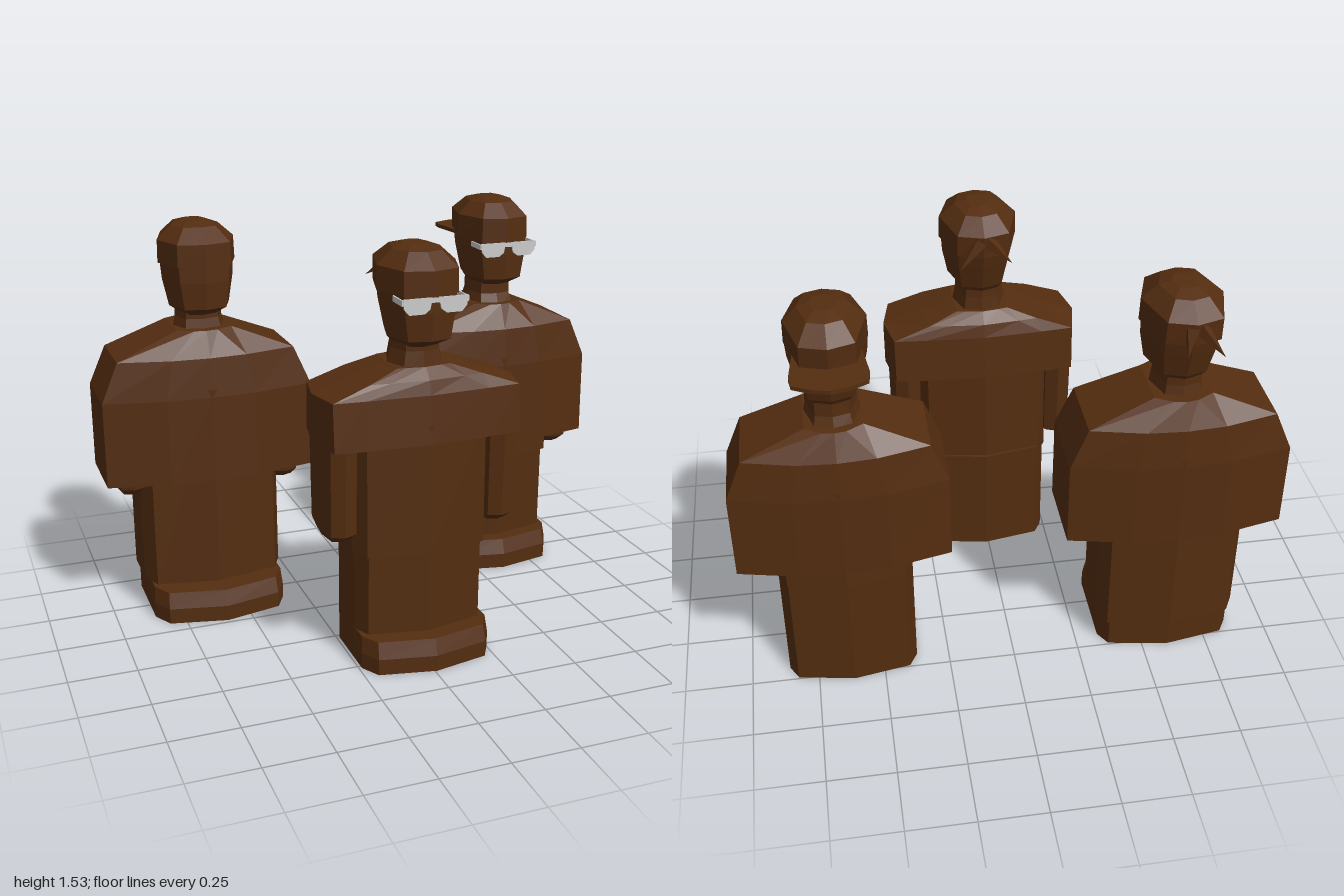
import * as THREE from 'three';

const brown = new THREE.MeshStandardMaterial({ color: 0x542d10, flatShading: true });
const grey = new THREE.MeshStandardMaterial({ color: 0xcccccc, flatShading: true });

// Half outlines seen from above, front centre to back centre: [x, z] in -1..1
const OUTLINE = {
  chestWide: [[0, 1], [0.42, 0.95], [1, 0.71], [1, -0.71], [0.42, -0.95], [0, -1]],
  chestRound: [[0, 1], [0.6, 0.92], [0.92, 0.86], [1, 0], [0.92, -0.86], [0.6, -0.92], [0, -1]],
  body: [[0, 1], [0.87, 0.77], [1, 0.4], [1, -0.5], [0.87, -0.8], [0, -1]],
  shoe: [[0, 1], [0.84, 0.81], [1, 0.5], [1, -0.55], [0.87, -0.8], [0, -1]],
  head: [[0, 1], [0.68, 0.84], [1, 0.1], [0.66, -0.84], [0, -1]],
  arm: [[0, 1], [0.75, 0.85], [1, 0], [0.75, -0.85], [0, -1]],
  visor: [[0, 1], [0.85, 1], [1, -0.3], [0.95, -0.65], [0.5, -0.88], [0, -1]],
};

// Closed loft through rings [y, half width, front z, back z], bottom to top
function loft(name, outline, rings, material = brown) {
  const half = OUTLINE[outline];
  const loop = [...half, ...half.slice(1, -1).reverse().map(([x, z]) => [-x, z])];
  const n = loop.length, pos = [], idx = [];
  for (const [y, w, zf, zb] of rings)
    for (const [x, z] of loop) pos.push(x * w, y, (zf + zb) / 2 + z * (zf - zb) / 2);
  for (let r = 0; r < rings.length - 1; r++)
    for (let i = 0; i < n; i++) {
      const a = r * n + i, b = r * n + (i + 1) % n;
      idx.push(a, b, b + n, a, b + n, a + n);
    }
  const top = (rings.length - 1) * n;
  for (let i = 1; i < n - 1; i++) idx.push(0, i + 1, i, top, top + i, top + i + 1);
  const g = new THREE.BufferGeometry();
  g.setAttribute('position', new THREE.Float32BufferAttribute(pos, 3));
  g.setIndex(idx);
  const flat = g.toNonIndexed();
  flat.computeVertexNormals();
  const mesh = new THREE.Mesh(flat, material);
  mesh.name = name;
  return mesh;
}

// Flat pointed cloth end running from base to tip
function clothTail(base, tip) {
  const a = new THREE.Vector3(...base), b = new THREE.Vector3(...tip);
  const dir = b.clone().sub(a);
  const mesh = new THREE.Mesh(new THREE.ConeGeometry(0.03, dir.length(), 4), brown);
  mesh.position.copy(a).add(b).multiplyScalar(0.5);
  mesh.quaternion.setFromUnitVectors(new THREE.Vector3(0, 1, 0), dir.normalize());
  mesh.name = 'bandanaTail';
  return mesh;
}

function box(name, w, h, d, x, y, z) {
  const mesh = new THREE.Mesh(new THREE.BoxGeometry(w, h, d), grey);
  mesh.position.set(x, y, z);
  mesh.name = name;
  return mesh;
}

// Sunglasses: two lenses, a bridge and two temples
function sunglasses(y, z) {
  const g = new THREE.Group();
  g.name = 'sunglasses';
  for (const s of [-1, 1]) {
    const lens = new THREE.Shape([[0.012, 0], [0.118, 0], [0.113, -0.035], [0.095, -0.055],
      [0.04, -0.055], [0.02, -0.04]].map(([x, v]) => new THREE.Vector2(s * x, v)));
    const mesh = new THREE.Mesh(new THREE.ExtrudeGeometry(lens, { depth: 0.006, bevelEnabled: false }), grey);
    mesh.name = 'lens';
    g.add(mesh, box('temple', 0.006, 0.02, 0.088, s * 0.118, -0.013, -0.04));
  }
  g.add(box('bridge', 0.04, 0.016, 0.006, 0, -0.01, 0.003));
  g.position.set(0, y, z);
  return g;
}

function person(o) {
  const g = new THREE.Group();
  g.name = o.name;
  g.position.set(o.x, 0, o.z);

  // Shoes, legs and the lower shirt
  const f = o.shoe;
  g.add(loft('shoes', 'shoe', [[0, o.leg, f, -0.19], [0.06, o.leg, f, -0.19], [0.12, o.leg - 0.005, f - 0.02, -0.19]]));
  g.add(loft('legs', 'body', [[0, o.leg, 0.17, -0.195], [o.hem + 0.03, o.leg, 0.175, -0.195]]));
  g.add(loft('shirt', 'body', [[o.hem, o.waist, o.deep, -o.deep], [0.9, o.waist, o.deep - 0.004, -o.deep + 0.004]]));

  // Chest with sleeves, then the bare arms
  const w = o.chest, d = o.deep;
  g.add(loft('chestAndSleeves', o.outline, [[o.sleeve, w, d, -d], ...o.shoulder.map(([y, k, e]) => [y, w * k, d * e, -d * e])]));
  for (const s of [-1, 1]) {
    const arm = loft('arm', 'arm', [[0.48, 0.045, 0.09, -0.09], [0.51, 0.062, 0.13, -0.13], [o.sleeve + 0.05, 0.065, 0.14, -0.14]]);
    arm.position.x = s * o.armX;
    g.add(arm);
  }

  // Neck and head
  g.add(loft('neck', 'head', [[1.06, 0.11, o.collar, -o.collar], [1.15, 0.09, 0.1, -0.1], [1.23, 0.088, 0.1, -0.1]]));
  const head = new THREE.Group();
  head.name = 'head';
  head.position.y = o.lift;
  head.add(loft('face', 'head', [[1.165, 0.07, 0.1, -0.09], [1.2, 0.115, 0.17, -0.115], [1.3, 0.135, 0.178, -0.145], [1.38, 0.14, 0.178, -0.165]]));
  head.add(loft('headwear', 'head', [[1.36, o.band, 0.187, -0.175], [1.445, o.band - 0.002, 0.187, -0.182],
    [1.497, 0.088, 0.118, -0.11], [1.512, 0.045, 0.055, -0.05]]));
  if (o.glasses) head.add(sunglasses(1.36 - o.lift * 0.3, 0.192));
  if (o.visor) head.add(loft('capVisor', 'visor', [[1.352, 0.13, -0.03, -0.297], [1.367, 0.13, -0.03, -0.297]]));
  for (const t of o.tails || []) head.add(clothTail([0.015 * Math.sign(t[0]), 1.425, -0.165], t));
  g.add(head);
  return g;
}

export function createModel() {
  const group = new THREE.Group();
  group.name = 'threePeople';
  const slope = [[0.87, 1, 0.98], [1.02, 0.84, 0.92], [1.115, 0.26, 0.71]];
  group.add(
    person({ name: 'rightPerson', x: -0.597, z: -0.335, shoe: 0.318, leg: 0.258, waist: 0.272, hem: 0.12, deep: 0.207,
      outline: 'chestWide', chest: 0.403, sleeve: 0.54, shoulder: slope, armX: 0.3, collar: 0.12,
      lift: 0, band: 0.147, tails: [[-0.09, 1.34, -0.225], [0.03, 1.33, -0.2]] }),
    person({ name: 'leftPerson', x: 0.615, z: -0.335, shoe: 0.25, leg: 0.243, waist: 0.246, hem: 0.475, deep: 0.205,
      outline: 'chestWide', chest: 0.385, sleeve: 0.54, shoulder: slope, armX: 0.285, collar: 0.135,
      lift: 0.022, band: 0.141, glasses: true, visor: true }),
    person({ name: 'middlePerson', x: 0.008, z: 0.368, shoe: 0.26, leg: 0.247, waist: 0.256, hem: 0.425, deep: 0.183,
      outline: 'chestRound', chest: 0.377, sleeve: 0.835, shoulder: [[1.01, 1, 0.92], [1.06, 0.6, 0.85], [1.098, 0.28, 0.64]],
      armX: 0.3, collar: 0.11, lift: 0, band: 0.147, glasses: true,
      tails: [[-0.095, 1.36, -0.225], [0.095, 1.33, -0.205]] }),
  );
  return group;
}
